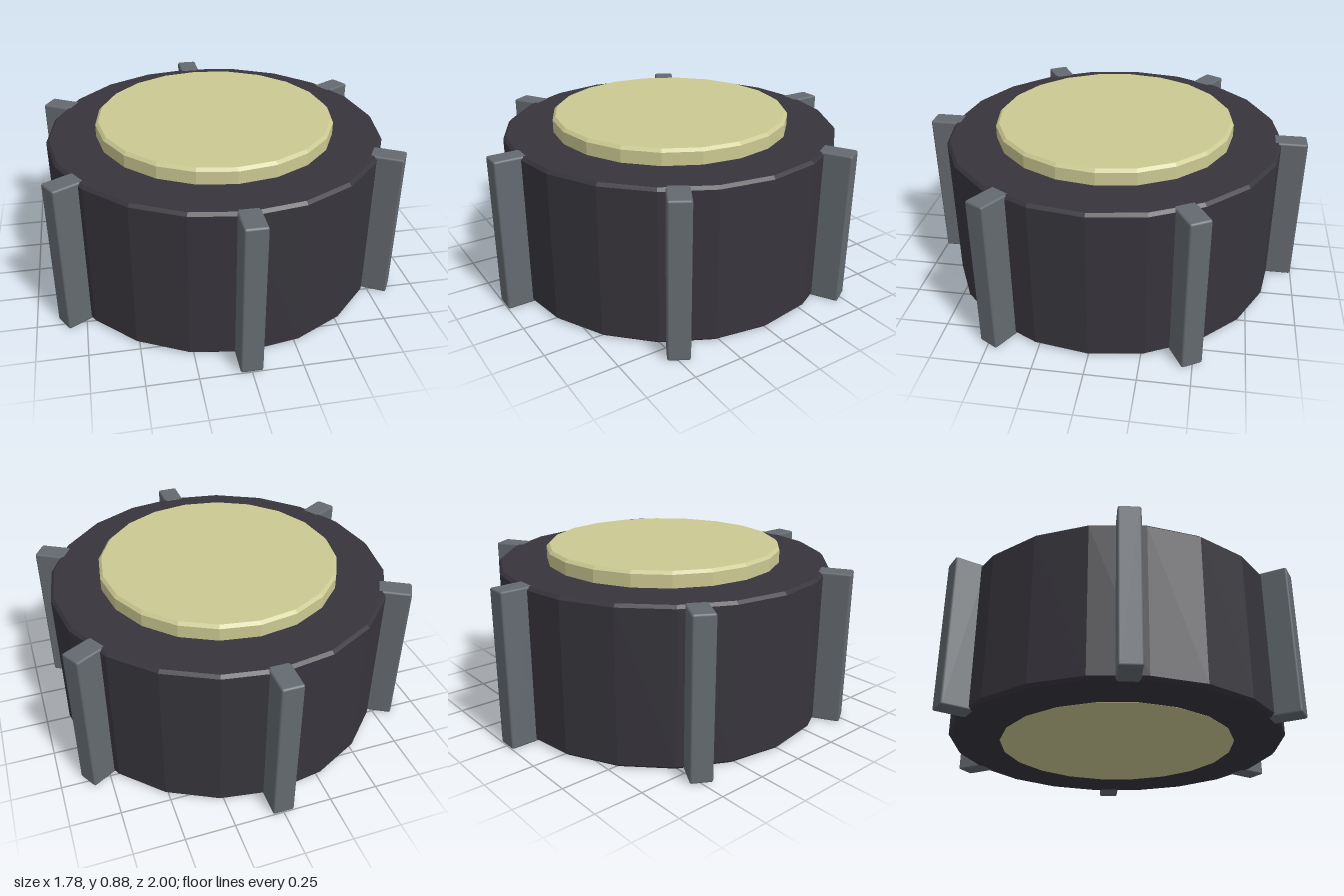
import * as THREE from 'three';
import { RoundedBoxGeometry } from 'three/addons/geometries/RoundedBoxGeometry.js';

const SIDES = 20;

// Faceted solid of revolution from [radius, height] pairs
function facetedLathe(points) {
  const profile = points.map(([r, y]) => new THREE.Vector2(r, y));
  const geometry = new THREE.LatheGeometry(profile, SIDES).toNonIndexed();
  geometry.computeVertexNormals();
  return geometry;
}

function addMesh(parent, name, geometry, material) {
  const mesh = new THREE.Mesh(geometry, material);
  mesh.name = name;
  parent.add(mesh);
  return mesh;
}

function createMaterial(name, color) {
  const material = new THREE.MeshStandardMaterial({ color });
  material.name = name;
  return material;
}

export function createModel() {
  const group = new THREE.Group();
  group.name = 'ribbedDrum';

  const charcoal = createMaterial('charcoal', 0x37353c);
  const cream = createMaterial('cream', 0xcbc992);
  const steel = createMaterial('steelGrey', 0x646a70);

  // Dark outer ring with small bevels on both rims
  addMesh(group, 'outerRing', facetedLathe([
    [0.61, 0.001], [0.86, 0.001], [0.875, 0.016],
    [0.875, 0.785], [0.86, 0.8], [0.61, 0.8],
  ]), charcoal);

  // Pale core running through the ring and standing proud on top
  addMesh(group, 'core', facetedLathe([
    [0, 0], [0.615, 0], [0.62, 0.02], [0.62, 0.865], [0.605, 0.88], [0, 0.88],
  ]), cream);

  // Six upright ribs around the ring
  const inner = 0.83, outer = 1.0, height = 0.801;
  const ribGeometry = new RoundedBoxGeometry(0.11, height, outer - inner, 1, 0.01);
  ribGeometry.translate(0, height / 2, (inner + outer) / 2);
  const ribs = new THREE.Group();
  ribs.name = 'ribs';
  for (let i = 0; i < 6; i++) {
    addMesh(ribs, 'rib' + (i + 1), ribGeometry, steel).rotation.y = (i * Math.PI) / 3;
  }
  group.add(ribs);

  return group;
}
